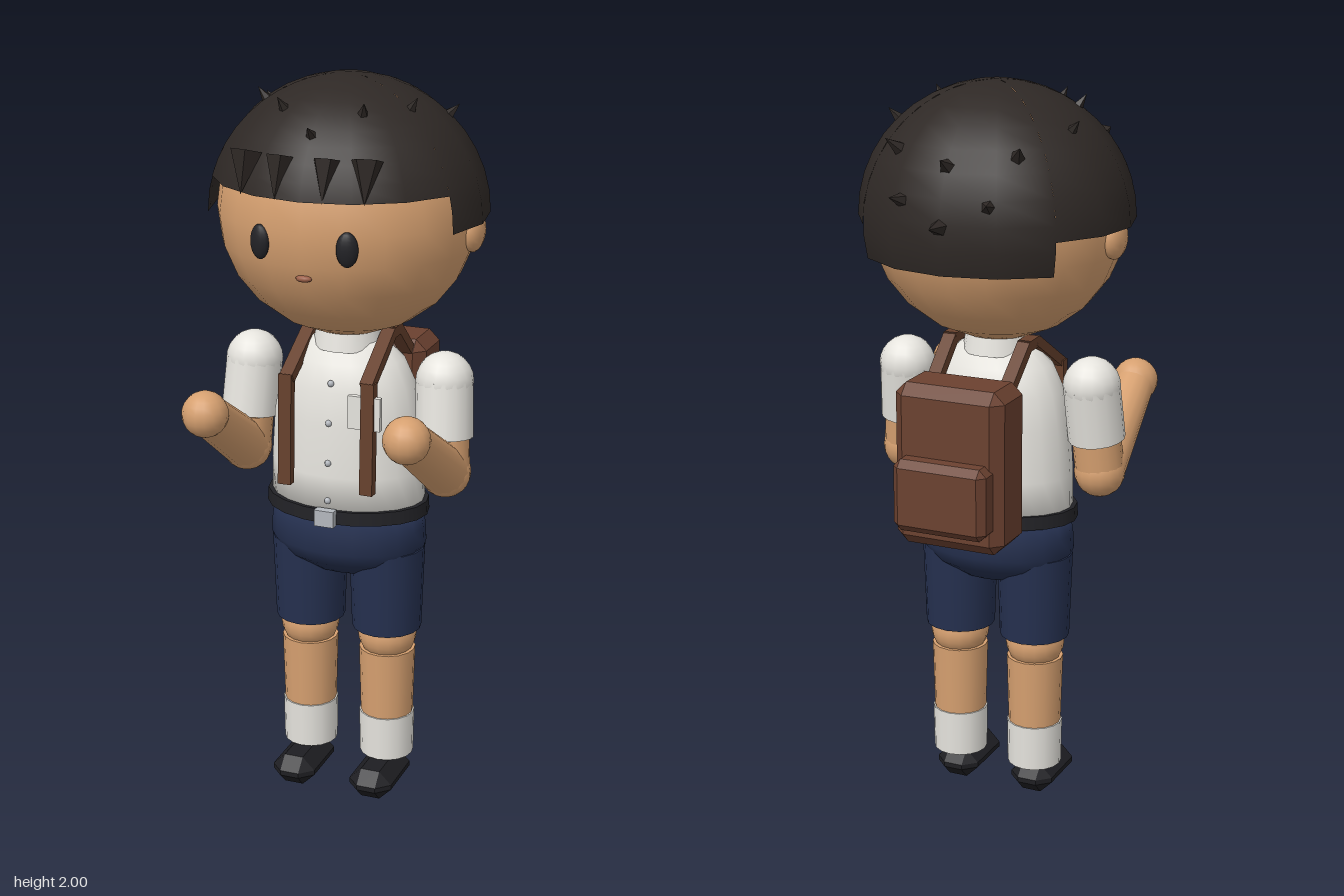
import * as THREE from 'three';
import { ConvexGeometry } from 'three/addons/geometries/ConvexGeometry.js';

const V = (x, y, z) => new THREE.Vector3(x, y, z);
const mat = (color, opts = {}) => {
  const m = new THREE.MeshStandardMaterial(opts);
  m.color.set(color);
  return m;
};

export function createModel() {
  const root = new THREE.Group();
  const skin = mat(0xd6a070), white = mat(0xe6e4de), navy = mat(0x25304f);
  const hair = mat(0x2e2825, { side: THREE.DoubleSide });
  const spikeMat = mat(0x2e2825, { flatShading: true });
  const brown = mat(0x6b4130, { flatShading: true }), strapMat = mat(0x66402c, { flatShading: true });
  const dark = mat(0x222226), black = mat(0x1e1e22, { flatShading: true });
  const metal = mat(0xb4b8be), lip = mat(0x9a5f48);

  const add = (name, geo, material, x = 0, y = 0, z = 0) => {
    const m = new THREE.Mesh(geo, material);
    m.name = name;
    m.position.set(x, y, z);
    root.add(m);
    return m;
  };
  const ball = (name, material, x, y, z, rx, ry = rx, rz = rx, seg = 16) => {
    const m = add(name, new THREE.SphereGeometry(1, seg, 12), material, x, y, z);
    m.scale.set(rx, ry, rz);
    return m;
  };
  // Tapered round limb from a to b
  const limb = (name, material, a, b, ra, rb, seg = 16) => {
    const d = b.clone().sub(a);
    const m = add(name, new THREE.CylinderGeometry(rb, ra, d.length(), seg), material);
    m.position.copy(a).addScaledVector(d, 0.5);
    m.quaternion.setFromUnitVectors(V(0, 1, 0), d.normalize());
    return m;
  };
  // Box with chamfered edges and corners
  const bevelBox = (w, h, d, b) => {
    const pts = [];
    for (const sx of [-1, 1]) for (const sy of [-1, 1]) for (const sz of [-1, 1])
      for (let k = 0; k < 3; k++)
        pts.push(V(sx * (w / 2 - (k === 0 ? 0 : b)), sy * (h / 2 - (k === 1 ? 0 : b)), sz * (d / 2 - (k === 2 ? 0 : b))));
    return new ConvexGeometry(pts);
  };
  // Oval body of revolution from [radius, y] points
  const oval = (name, material, pts, depth, z) => {
    const m = add(name, new THREE.LatheGeometry(pts.map(p => new THREE.Vector2(...p)), 20), material, 0, 0, z);
    m.scale.z = depth;
    return m;
  };

  // Head and face
  ball('head', skin, 0, 1.65, 0.015, 0.345, 0.333, 0.327, 20);
  ball('mouth', lip, 0, 1.535, 0.32, 0.022, 0.009, 0.012, 10);
  for (const s of [-1, 1]) {
    ball('ear', skin, s * 0.337, 1.615, 0, 0.03, 0.057, 0.052, 12);
    const eye = ball('eye', dark, s * 0.117, 1.62, 0.322, 0.028, 0.045, 0.016, 12);
    eye.rotation.y = s * 0.3;
  }

  // Hair cap: short at the front, lower at the sides, lowest at the back
  const hc = V(0, 1.64, 0.01), hr = V(0.37, 0.36, 0.35);
  const patch = (name, from, to, seg, low) => {
    const r = THREE.MathUtils.degToRad;
    const g = new THREE.SphereGeometry(1, seg, 10, Math.PI / 2 + r(from), r(to - from), 0, r(low));
    add(name, g, hair, hc.x, hc.y, hc.z).scale.copy(hr);
  };
  patch('hairFront', -65, 65, 6, 74.7);
  patch('hairLeft', 65, 133, 3, 90);
  patch('hairBack', 133, 227, 4, 104.5);
  patch('hairRight', 227, 295, 3, 90);

  // Hair spikes, each pointing outwards from the cap
  const spike = (x, y, z, r = 0.02, h = 0.055) => {
    const p = V(x, y, z).sub(hc).divide(hr).normalize();
    const n = p.clone().divide(hr).normalize();
    p.multiply(hr).add(hc).addScaledVector(n, h / 2 - 0.02);
    const m = add('hairSpike', new THREE.ConeGeometry(r, h, 5), spikeMat, p.x, p.y, p.z);
    m.quaternion.setFromUnitVectors(V(0, 1, 0), n);
  };
  for (const s of [-1, 1]) {
    spike(s * 0.24, 1.89, -0.07);
    spike(s * 0.195, 1.93, 0.085);
    spike(s * 0.105, 1.93, 0.185);
    spike(s * 0.16, 1.84, -0.22, 0.024, 0.065);
    spike(s * 0.12, 1.73, -0.305, 0.024, 0.06);
  }
  spike(0, 1.885, 0.265);
  spike(0, 1.82, -0.29, 0.028, 0.06);
  spike(0, 1.675, -0.34, 0.028, 0.075);

  // Fringe of downward tufts
  for (const [x, z, r] of [[-0.17, 0.295, 0.042], [-0.07, 0.32, 0.035], [0.055, 0.32, 0.035], [0.155, 0.295, 0.042]]) {
    const m = add('fringeTuft', new THREE.ConeGeometry(r, 0.11, 5), spikeMat, x, 1.785, z);
    m.quaternion.setFromUnitVectors(V(0, 1, 0), V(x * 0.3, -1, 0.3).normalize());
  }

  // Shirt, collar, buttons and pocket
  oval('shirt', white, [[0, 0.83], [0.214, 0.83], [0.214, 0.95], [0.205, 1.09], [0.187, 1.18], [0.155, 1.25], [0.1, 1.3], [0, 1.31]], 0.71, 0.015);
  add('collar', new THREE.CylinderGeometry(0.085, 0.095, 0.05, 16), white, 0, 1.305, 0.015);
  add('neck', new THREE.CylinderGeometry(0.07, 0.07, 0.12, 16), skin, 0, 1.32, 0.01);
  [[1.205, 0.142], [1.1, 0.159], [0.99, 0.165], [0.885, 0.168]].forEach(([y, z]) =>
    ball('button', metal, 0, y, z, 0.009, 0.009, 0.008, 8));
  add('pocket', new THREE.BoxGeometry(0.09, 0.09, 0.016), white, 0.105, 1.145, 0.168);

  // Belt and shorts
  oval('belt', dark, [[0, 0.823], [0.228, 0.823], [0.228, 0.823], [0.226, 0.86], [0.226, 0.86], [0, 0.86]], 0.71, 0.017);
  add('buckle', new THREE.BoxGeometry(0.055, 0.045, 0.025), metal, 0, 0.843, 0.185);
  oval('shortsHips', navy, [[0, 0.65], [0.12, 0.65], [0.19, 0.69], [0.22, 0.73], [0.217, 0.78], [0.208, 0.83], [0, 0.83]], 0.7, 0.013);

  for (const s of [-1, 1]) {
    // Legs
    const x = s * 0.115, z = 0.014;
    add('shortsLeg', new THREE.CylinderGeometry(0.104, 0.096, 0.24, 16), navy, s * 0.113, 0.6, z);
    add('thigh', new THREE.CylinderGeometry(0.082, 0.08, 0.11, 16), skin, x, 0.525, z);
    ball('knee', skin, x, 0.455, z, 0.081, 0.075, 0.081);
    add('shin', new THREE.CylinderGeometry(0.078, 0.072, 0.23, 16), skin, x, 0.3, z);
    add('sock', new THREE.CylinderGeometry(0.077, 0.075, 0.127, 16), white, x, 0.157, z);
    add('shoe', bevelBox(0.124, 0.084, 0.22, 0.035), black, x, 0.046, 0.07);

    // Arms, bent at the elbow
    const shoulder = V(s * 0.272, 1.21, 0.017), cuff = V(s * 0.28, 1.06, 0.038);
    const elbow = V(s * 0.287, 0.965, 0.045), wrist = V(s * 0.279, 1.135, 0.305);
    ball('shoulder', white, shoulder.x, shoulder.y, shoulder.z, 0.077);
    limb('sleeve', white, shoulder, cuff, 0.076, 0.077);
    limb('upperArm', skin, cuff, elbow, 0.066, 0.066);
    ball('elbow', skin, elbow.x, elbow.y, elbow.z, 0.069);
    limb('forearm', skin, elbow, wrist, 0.067, 0.056);
    ball('hand', skin, s * 0.278, 1.145, 0.325, 0.062);

    // Backpack strap over the shoulder
    const path = [V(s * 0.105, 1.21, -0.17), V(s * 0.108, 1.315, -0.05), V(s * 0.11, 1.318, 0), V(s * 0.112, 1.22, 0.165), V(s * 0.12, 0.93, 0.176)];
    for (let i = 0; i < 4; i++) {
      const d = path[i + 1].clone().sub(path[i]);
      const m = add('strap', new THREE.BoxGeometry(0.036, 0.028, d.length() + 0.014), strapMat);
      m.position.copy(path[i]).addScaledVector(d, 0.5);
      m.quaternion.setFromUnitVectors(V(0, 0, 1), d.normalize());
      if (i === 3) { m.rotation.set(Math.PI / 2 - 0.04, 0, 0); m.rotation.z = s * 0.02; }
    }
  }

  // Backpack
  add('backpack', bevelBox(0.31, 0.44, 0.17, 0.03), brown, 0, 1.03, -0.225);
  add('backpackPocket', bevelBox(0.265, 0.195, 0.08, 0.02), brown, 0, 0.963, -0.324);

  return root;
}
